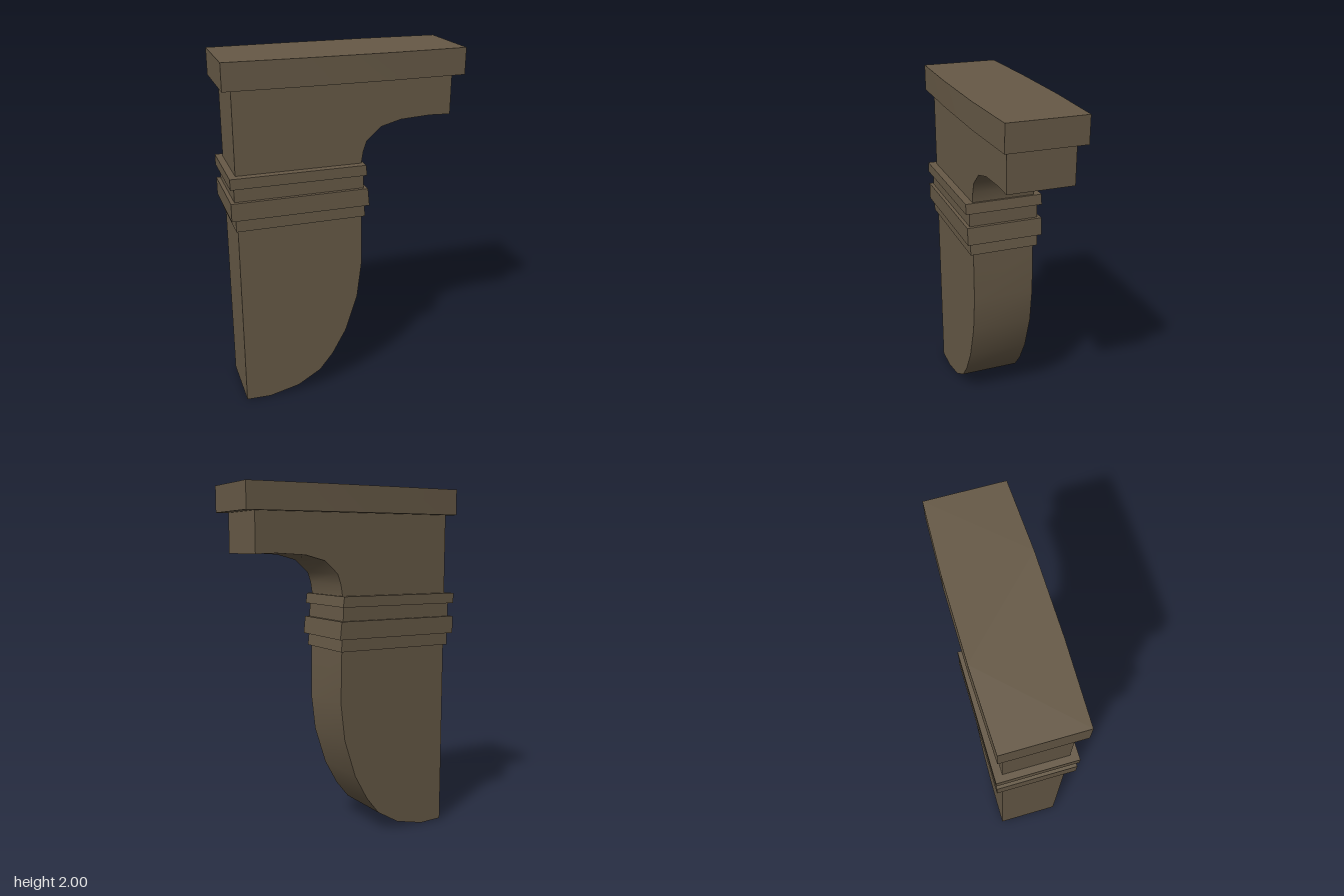
import * as THREE from 'three';
import { toCreasedNormals } from 'three/addons/utils/BufferGeometryUtils.js';

const stone = new THREE.MeshStandardMaterial({ color: 0x665946 });
stone.name = 'brownStone';

// Outline in x and y, extruded evenly about z = 0
function slab(name, points, depth) {
  const shape = new THREE.Shape(points.map(([x, y]) => new THREE.Vector2(x, y)));
  const geometry = new THREE.ExtrudeGeometry(shape, { depth, bevelEnabled: false });
  geometry.translate(0, 0, -depth / 2);
  const mesh = new THREE.Mesh(toCreasedNormals(geometry, 0.7), stone);
  mesh.name = name;
  return mesh;
}

export function createModel() {
  const model = new THREE.Group();
  model.name = 'corbelBracket';

  // Bracket body: rounded foot, straight back, concave sweep under the arm
  model.add(slab('bracketBody', [
    [-0.61, 0.005], [-0.47, 0], [-0.295, 0.04], [-0.16, 0.12], [-0.08, 0.22],
    [0, 0.365], [0.07, 0.585], [0.095, 0.8], [0.09, 1.1], [0.085, 1.4],
    [0.095, 1.465], [0.115, 1.525], [0.195, 1.597], [0.31, 1.628],
    [0.48, 1.638], [0.6, 1.634], [0.6, 1.86], [-0.61, 1.86],
  ], 0.36));

  // Moulding bands: bottom, top, back x, front x at bottom and top, depth
  const bands = [
    ['lowerBand', 1.095, 1.165, -0.622, 0.105, 0.098, 0.4],
    ['wideBand', 1.165, 1.265, -0.647, 0.122, 0.112, 0.44],
    ['neckBand', 1.265, 1.343, -0.625, 0.093, 0.09, 0.4],
    ['upperBand', 1.343, 1.402, -0.647, 0.105, 0.098, 0.446],
  ];
  for (const [name, y0, y1, back, x0, x1, depth] of bands) {
    model.add(slab(name, [[back, y0], [x0, y0], [x1, y1], [back, y1]], depth));
  }

  // Top slab, its long sides bowed slightly outward in plan
  const cap = slab('topSlab', [
    [-0.66, -0.217], [-0.22, -0.228], [0.25, -0.228], [0.66, -0.213],
    [0.66, 0.213], [0.25, 0.228], [-0.22, 0.228], [-0.66, 0.217],
  ], 0.145);
  cap.rotation.x = -Math.PI / 2;
  cap.position.y = 2 - 0.0725;
  model.add(cap);

  return model;
}
